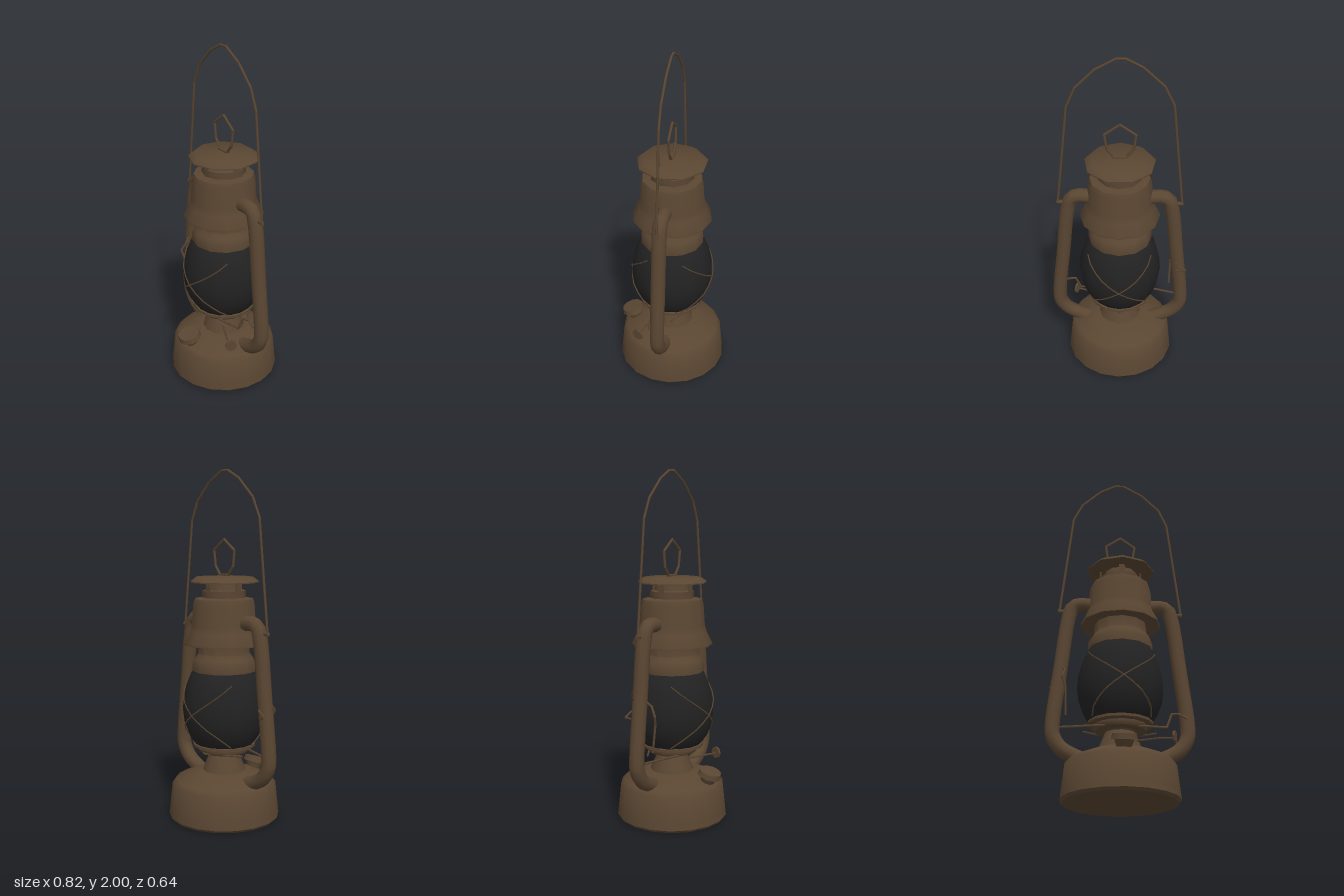
import * as THREE from 'three';
import { toCreasedNormals } from 'three/addons/utils/BufferGeometryUtils.js';

const V = (p) => new THREE.Vector3(p[0], p[1], p[2] || 0);

export function createModel() {
  const lantern = new THREE.Group();
  lantern.name = 'lantern';
  const metal = new THREE.MeshStandardMaterial({ color: 0x5a4632, side: THREE.DoubleSide });
  metal.name = 'aged brown metal';
  const glass = new THREE.MeshStandardMaterial({ color: 0x222222, side: THREE.DoubleSide });
  glass.name = 'sooty black glass';

  function add(name, geometry, material = metal, parent = lantern) {
    const mesh = new THREE.Mesh(geometry, material);
    mesh.name = name;
    parent.add(mesh);
    return mesh;
  }

  // Turned part from [radius, height] pairs, bottom to top
  function turned(name, profile, sides, material = metal) {
    const geo = new THREE.LatheGeometry(profile.map((p) => new THREE.Vector2(p[0], p[1])), sides);
    return add(name, toCreasedNormals(geo, 0.75), material);
  }

  // Bent wire made of straight rods
  function wire(name, points, radius = 0.007, sides = 5) {
    const group = new THREE.Group();
    group.name = name;
    lantern.add(group);
    for (let i = 0; i < points.length - 1; i++) {
      const a = V(points[i]), b = V(points[i + 1]);
      const dir = b.clone().sub(a);
      const rod = add(name + 'Rod', new THREE.CylinderGeometry(radius, radius, dir.length() + radius * 0.6, sides), metal, group);
      rod.position.copy(a).add(b).multiplyScalar(0.5);
      rod.quaternion.setFromUnitVectors(new THREE.Vector3(0, 1, 0), dir.normalize());
    }
    return group;
  }

  // Fuel tank, burner cone and globe gallery
  turned('fuelTank', [[0, 0.004], [0.31, 0], [0.322, 0.015], [0.318, 0.05], [0.302, 0.2], [0.28, 0.225], [0.17, 0.272], [0.12, 0.28], [0, 0.28]], 18);
  turned('burnerCone', [[0.13, 0.265], [0.122, 0.29], [0.085, 0.38], [0.1, 0.4]], 12);
  turned('globeGallery', [[0.02, 0.385], [0.14, 0.39], [0.15, 0.405], [0.15, 0.42], [0.182, 0.425], [0.182, 0.44], [0.15, 0.445]], 14);

  // Glass globe
  const globeProfile = [[0.15, 0.425], [0.17, 0.44], [0.205, 0.49], [0.231, 0.56], [0.24, 0.63], [0.236, 0.7], [0.218, 0.78], [0.19, 0.85], [0.16, 0.885]];
  turned('globe', globeProfile, 16, glass);

  // Collar, hood, chimney and cap
  turned('collar', [[0.165, 0.86], [0.184, 0.865], [0.184, 0.91], [0.172, 0.935], [0.15, 0.965], [0.15, 1.03]], 12);
  turned('hood', [[0.14, 1.025], [0.23, 1.018], [0.23, 1.028], [0.198, 1.09], [0.187, 1.13], [0.179, 1.25], [0.17, 1.278], [0.11, 1.288], [0, 1.288]], 12);
  turned('chimney', [[0.125, 1.28], [0.125, 1.325], [0.1, 1.33], [0.09, 1.375]], 10);
  turned('cap', [[0, 1.368], [0.13, 1.366], [0.2, 1.37], [0.2, 1.376], [0.165, 1.402], [0, 1.408]], 9);
  for (let i = 0; i < 4; i++) {
    const a = i * Math.PI / 2;
    const post = add('chimneyPost', new THREE.BoxGeometry(0.035, 0.06, 0.008));
    post.position.set(Math.sin(a) * 0.118, 1.345, Math.cos(a) * 0.118);
    post.rotation.y = a;
  }

  // Side air tubes
  for (const s of [-1, 1]) {
    const path = [[0.13, 1.14], [0.23, 1.153], [0.275, 1.135], [0.297, 1.07], [0.335, 0.75], [0.37, 0.42], [0.366, 0.36], [0.325, 0.295], [0.25, 0.25], [0.18, 0.225]];
    const curve = new THREE.CatmullRomCurve3(path.map((p) => V([s * p[0], p[1]])), false, 'centripetal');
    add(s > 0 ? 'leftAirTube' : 'rightAirTube', new THREE.TubeGeometry(curve, 36, 0.042, 10));
    // Bail pivot
    const pivot = add('bailPivot', new THREE.CylinderGeometry(0.012, 0.012, 0.05, 6));
    pivot.rotation.z = Math.PI / 2;
    pivot.position.set(s * 0.335, 1.105, 0);
  }

  // Carrying bail and lifting ring
  wire('bail', [[-0.353, 1.1], [-0.285, 1.73], [-0.232, 1.84], [-0.12, 1.945], [-0.03, 1.992], [0.02, 1.992],
    [0.13, 1.93], [0.235, 1.825], [0.283, 1.715], [0.353, 1.1]], 0.0075);
  wire('liftingRing', [[-0.035, 1.412], [-0.075, 1.46], [-0.087, 1.55], [0, 1.612], [0.085, 1.55], [0.072, 1.46], [0.035, 1.412], [-0.035, 1.412]], 0.008);
  const ringTab = add('ringTab', new THREE.BoxGeometry(0.075, 0.014, 0.024));
  ringTab.position.set(0, 1.41, 0);

  // Filler cap on the tank shoulder
  const filler = new THREE.Group();
  filler.name = 'fillerCap';
  filler.position.set(0, 0.265, 0.245);
  filler.rotation.x = 0.3;
  lantern.add(filler);
  add('fillerLid', toCreasedNormals(new THREE.CylinderGeometry(0.064, 0.07, 0.03, 10), 0.7), metal, filler).position.y = 0.025;
  add('fillerNeck', toCreasedNormals(new THREE.CylinderGeometry(0.055, 0.035, 0.055, 10), 0.7), metal, filler).position.y = -0.015;

  // Crossed guard wires hugging the globe
  const radiusAt = (y) => {
    for (let i = 1; i < globeProfile.length; i++) {
      const [r0, y0] = globeProfile[i - 1], [r1, y1] = globeProfile[i];
      if (y <= y1) return r0 + (r1 - r0) * (y - y0) / (y1 - y0);
    }
    return 0.17;
  };
  for (const face of [0, Math.PI]) {
    for (const s of [-1, 1]) {
      const points = [];
      for (let i = 0; i <= 10; i++) {
        const t = i / 10, y = 0.45 + 0.36 * t, a = face + s * (t - 0.5) * 2.1;
        const r = radiusAt(y) + 0.005;
        points.push([Math.sin(a) * r, y, Math.cos(a) * r]);
      }
      wire('guardWire', points, 0.004, 4);
    }
  }

  // Gallery rod with globe lever
  wire('globeLever', [[-0.33, 0.4, 0.03], [-0.1, 0.395, 0.1], [0.1, 0.395, 0.1], [0.245, 0.4, 0.07], [0.275, 0.48, 0.06], [0.315, 0.485, 0.05], [0.36, 0.46, 0.05]], 0.007);
  wire('rearGalleryRod', [[-0.2, 0.4, -0.04], [0, 0.395, -0.15], [0.2, 0.4, -0.04]], 0.006);
  // Upright lift wire beside the right tube
  wire('liftWire', [[-0.3, 0.46, 0.06], [-0.305, 0.62, 0.08], [-0.325, 0.67, 0.09], [-0.31, 0.72, 0.06], [-0.325, 0.75, 0.03]], 0.007);
  wire('tubeHook', [[-0.34, 0.64, -0.04], [-0.39, 0.66, -0.06], [-0.34, 0.69, -0.05]], 0.006);

  // Wick adjuster
  wire('wickRod', [[0.08, 0.325, 0.06], [0.2, 0.325, 0.12], [0.275, 0.32, 0.145]], 0.006);
  const knob = add('wickKnob', toCreasedNormals(new THREE.CylinderGeometry(0.035, 0.035, 0.012, 8), 0.6));
  knob.position.set(0.275, 0.325, 0.145);
  knob.rotation.set(0, -0.35, Math.PI / 2);

  return lantern;
}
